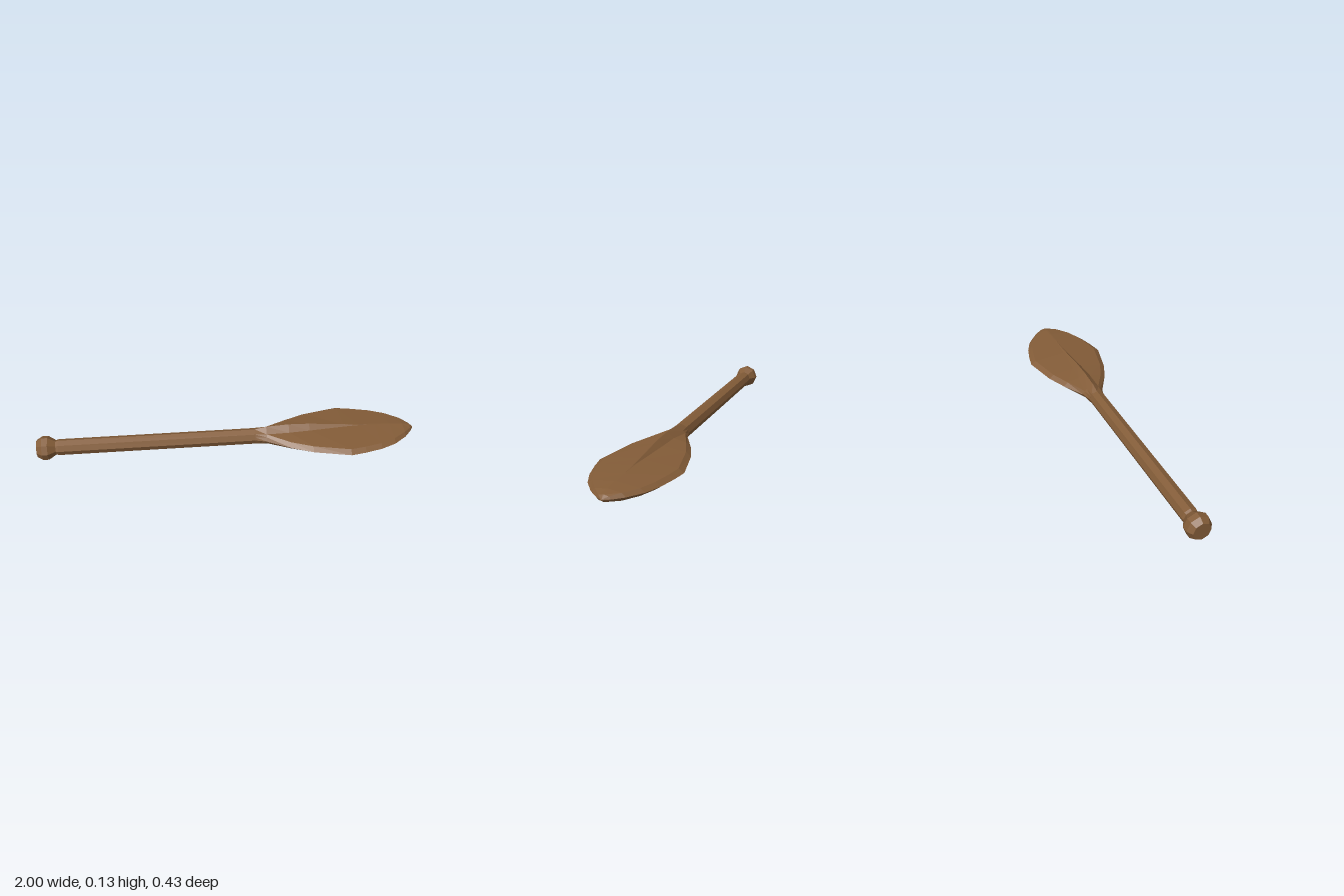
import * as THREE from 'three';

// Skin a row of closed (z, y) rings placed along x, with end caps
function loft(stations) {
  const pos = [];
  const tri = (...pts) => pts.forEach((p) => pos.push(...p));
  const rings = stations.map(([x, ring]) => ring.map(([z, y]) => [x, y, z]));
  const n = rings[0].length;
  for (let i = 0; i < rings.length - 1; i++) {
    for (let j = 0; j < n; j++) {
      const k = (j + 1) % n;
      const a = rings[i], b = rings[i + 1];
      tri(a[j], b[j], a[k]);
      tri(b[j], b[k], a[k]);
    }
  }
  const first = rings[0], last = rings[rings.length - 1];
  for (let j = 1; j < n - 1; j++) {
    tri(first[0], first[j], first[j + 1]);
    tri(last[0], last[j + 1], last[j]);
  }
  const g = new THREE.BufferGeometry();
  g.setAttribute('position', new THREE.Float32BufferAttribute(pos, 3));
  g.computeVertexNormals(); // unshared corners give flat facets
  return g;
}

// Octagon with a corner pointing up
const octagon = (r) => Array.from({ length: 8 }, (_, i) => {
  const a = (i * Math.PI) / 4;
  return [r * Math.cos(a), r * Math.sin(a)];
});

// Blade section: sharp rim, bevel, flat face and raised central spine
function bladeRing(w, b, e, s, c, r) {
  return [
    [w, 0], [b, e], [s, c], [0, r], [-s, c], [-b, e],
    [-w, 0], [-b, -e], [-s, -c], [0, -r], [s, -c], [b, -e],
  ];
}

export function createModel() {
  const group = new THREE.Group();
  const wood = new THREE.MeshStandardMaterial({ color: 0x835c38 });
  wood.name = 'brown wood';
  wood.flatShading = true;

  const add = (name, stations) => {
    const mesh = new THREE.Mesh(loft(stations), wood);
    mesh.name = name;
    mesh.position.y = 0.065;
    group.add(mesh);
  };

  // Faceted grip knob at the end of the handle
  add('knob', [[-1, 0.046], [-0.972, 0.063], [-0.942, 0.063], [-0.904, 0.039]]
    .map(([x, r]) => [x, octagon(r)]));

  // Straight octagonal handle
  add('shaft', [[-0.908, 0.036], [-0.89, 0.042], [0.15, 0.042]]
    .map(([x, r]) => [x, octagon(r)]));

  // Leaf-shaped blade: x, half width, bevel z, bevel y, spine z, face y, spine y
  add('blade', [
    [0.14, 0.042, 0.036, 0.016, 0.03, 0.03, 0.042],
    [0.2, 0.058, 0.046, 0.019, 0.034, 0.03, 0.056],
    [0.32, 0.124, 0.1, 0.02, 0.034, 0.033, 0.063],
    [0.43, 0.17, 0.144, 0.019, 0.027, 0.034, 0.06],
    [0.62, 0.213, 0.185, 0.018, 0.009, 0.034, 0.043],
    [0.7, 0.198, 0.171, 0.018, 0.004, 0.034, 0.036],
    [0.79, 0.174, 0.149, 0.018, 0.004, 0.033, 0.033],
    [0.87, 0.138, 0.115, 0.018, 0.004, 0.031, 0.031],
    [0.94, 0.083, 0.064, 0.018, 0.004, 0.026, 0.026],
    [0.98, 0.036, 0.024, 0.012, 0.003, 0.017, 0.017],
    [1, 0.003, 0.002, 0.002, 0.001, 0.003, 0.003],
  ].map(([x, ...p]) => [x, bladeRing(...p)]));

  return group;
}
